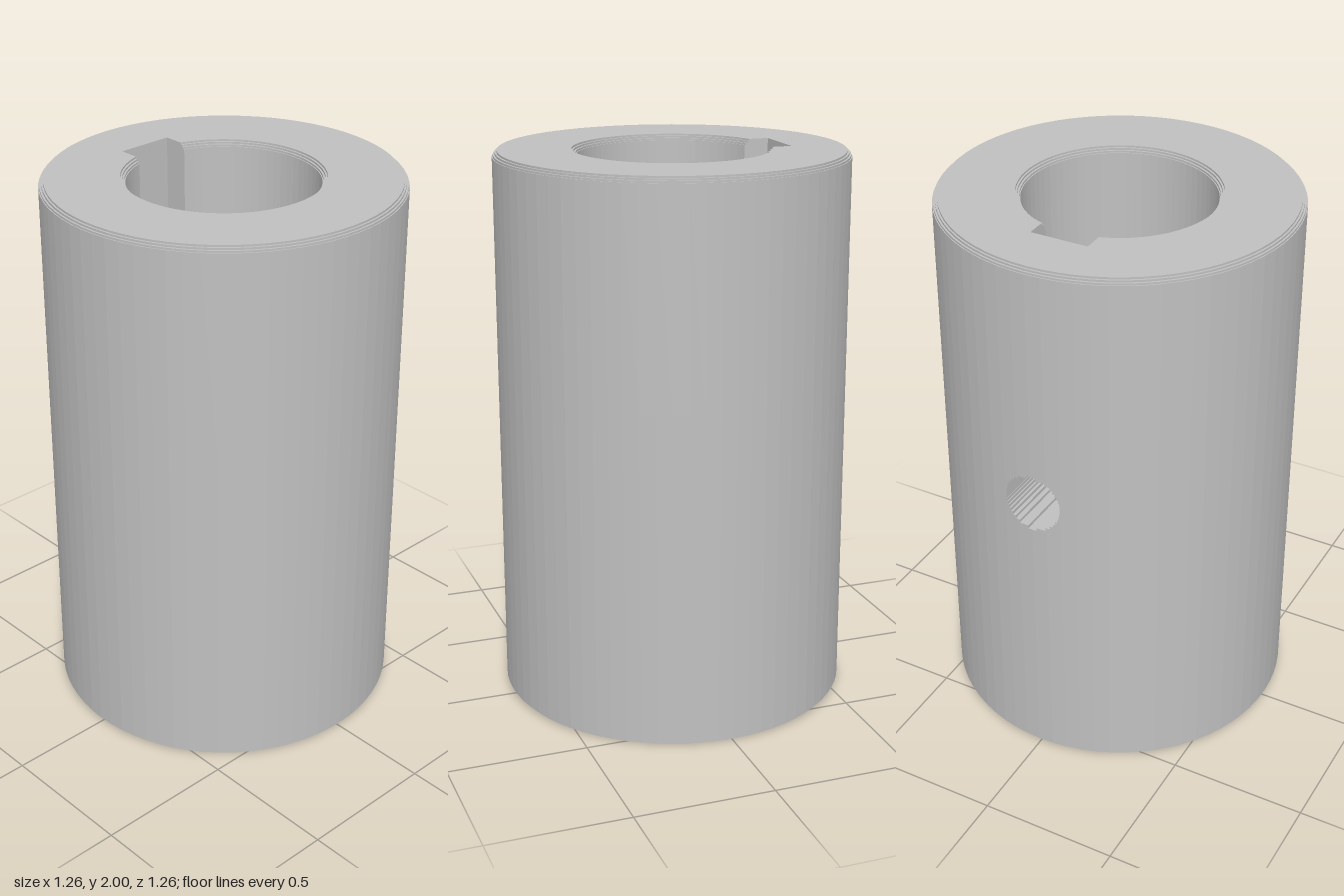
import * as THREE from 'three';
import { mergeGeometries } from 'three/addons/utils/BufferGeometryUtils.js';

const HEIGHT = 2, OUTER = 0.63, BORE = 0.335;
const KEY_HALF = 0.105, KEY_DEPTH = 0.41;       // keyway half width and back wall
const HOLE_Y = 1.1, HOLE_R = 0.105;             // radial screw hole in the back
const CONE_BOTTOM = 0.91, CONE_SLOPE = 0.57;    // drill point at the end of the bore
const CHAMFER = 0.021, CHAMFER_STEPS = 3, LAYER = 0.0115, SIDES = 72;

// Circle of radius r, open by +-halfGap around the keyway direction
function arc(r, halfGap = 0) {
  const gap = Math.asin(halfGap / r), step = (Math.PI * 2) / SIDES;
  const at = (a) => new THREE.Vector2(-r * Math.sin(a), r * Math.cos(a));
  const points = [at(gap)];
  for (let i = 1; i < SIDES; i++) {
    const a = i * step;
    if (a > gap + 0.002 && a < Math.PI * 2 - gap - 0.002) points.push(at(a));
  }
  if (gap > 0) points.push(at(Math.PI * 2 - gap));
  return points;
}

// Cross-section of the sleeve at height y
function section(y) {
  const edge = Math.max(0, CHAMFER - Math.min(y, HEIGHT - y));
  const topEdge = Math.max(0, CHAMFER - (HEIGHT - y));
  const outer = OUTER - edge;
  const bore = Math.min(BORE, BORE - (HOLE_Y - y) / CONE_SLOPE) + topEdge;
  const slot = Math.sqrt(Math.max(0, HOLE_R ** 2 - (y - HOLE_Y) ** 2));
  const keyed = y > HOLE_Y;
  const v = (x) => new THREE.Vector2(x, KEY_DEPTH);

  if (slot > 0) {
    // The screw hole opens the ring into a C
    const inner = arc(bore, keyed ? KEY_HALF : slot).reverse();
    return new THREE.Shape(keyed
      ? [...arc(outer, slot), v(slot), v(KEY_HALF), ...inner, v(-KEY_HALF), v(-slot)]
      : [...arc(outer, slot), ...inner]);
  }
  const shape = new THREE.Shape(arc(outer));
  if (keyed) shape.holes.push(new THREE.Path([...arc(bore, KEY_HALF), v(KEY_HALF), v(-KEY_HALF)]));
  else if (y > CONE_BOTTOM) shape.holes.push(new THREE.Path(arc(bore)));
  return shape;
}

// Stack of equal layers from y0 to y1, merged into one geometry
function stack(y0, y1, count) {
  const h = (y1 - y0) / count, layers = [];
  for (let i = 0; i < count; i++) {
    const y = y0 + i * h;
    const layer = new THREE.ExtrudeGeometry(section(y + h / 2), { depth: h, bevelEnabled: false });
    layers.push(layer.rotateX(-Math.PI / 2).translate(0, y, 0));
  }
  return mergeGeometries(layers);
}

export function createModel() {
  const group = new THREE.Group();
  group.name = 'shaftSleeve';
  const steel = new THREE.MeshStandardMaterial({ color: 0xc0c0c0 });
  steel.name = 'steel grey';

  const drilledCount = Math.ceil((HOLE_Y + HOLE_R - CONE_BOTTOM) / LAYER);
  const drilledTop = CONE_BOTTOM + drilledCount * LAYER;
  const parts = [
    ['bottomChamfer', 0, CHAMFER, CHAMFER_STEPS],
    ['solidBase', CHAMFER, CONE_BOTTOM, 1],
    ['drilledSection', CONE_BOTTOM, drilledTop, drilledCount],   // cone, screw hole, keyway end
    ['keyedBore', drilledTop, HEIGHT - CHAMFER, 1],
    ['topChamfer', HEIGHT - CHAMFER, HEIGHT, CHAMFER_STEPS],
  ];
  for (const [name, y0, y1, count] of parts) {
    const mesh = new THREE.Mesh(stack(y0, y1, count), steel);
    mesh.name = name;
    group.add(mesh);
  }
  return group;
}
